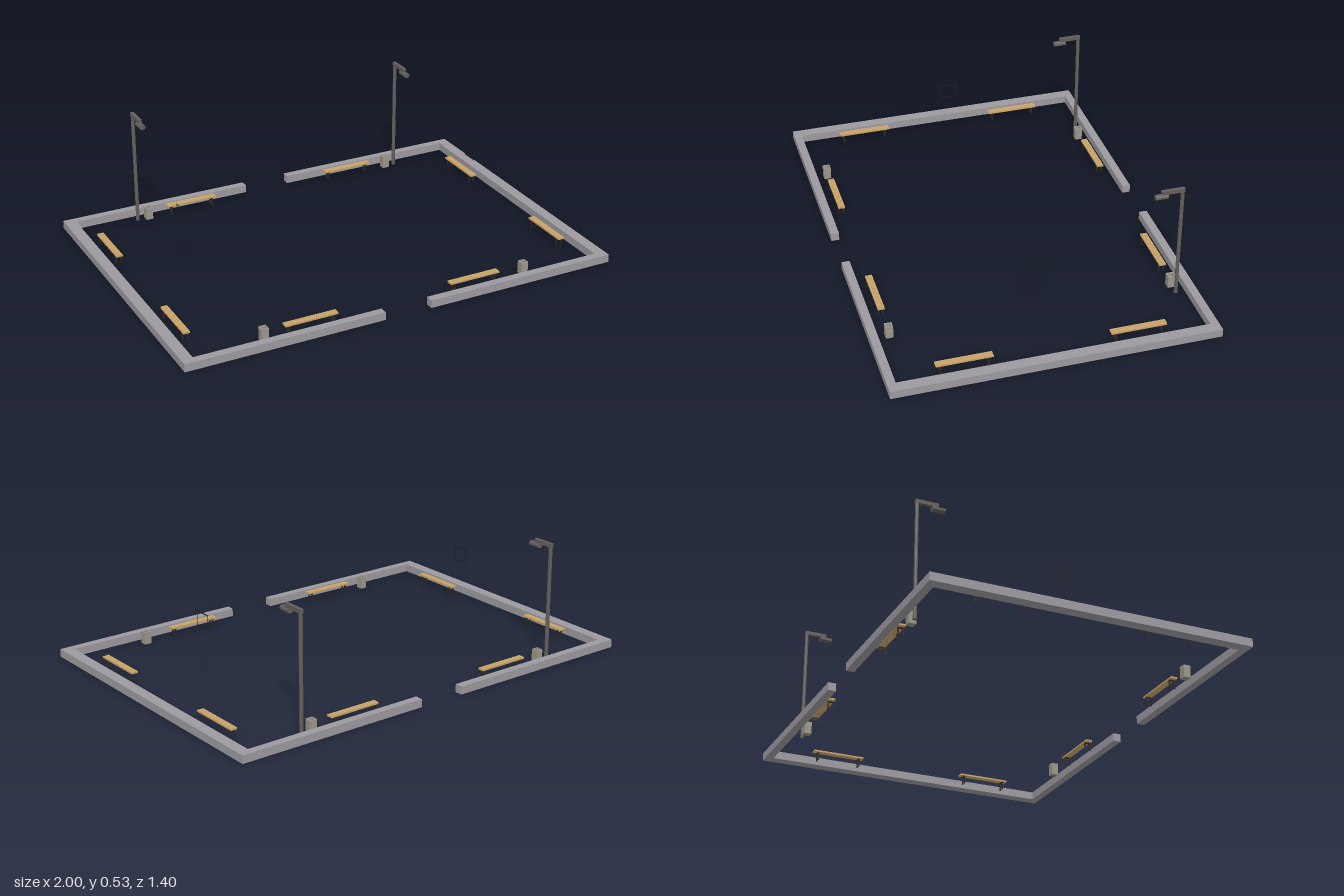
import * as THREE from 'three';

const mat = (name, color, extra = {}) => {
  const m = new THREE.MeshStandardMaterial({ color, ...extra });
  m.name = name;
  return m;
};

export function createModel() {
  const stone = mat('stone', 0x9c9a9f);
  const wood = mat('wood', 0xcaa468);
  const iron = mat('dark iron', 0x2b2927);
  const lampMetal = mat('lamp metal', 0x625e5b, { flatShading: true });
  const binGrey = mat('bin grey', 0x9c968a);
  const line = mat('frame black', 0x1c1e20, { side: THREE.DoubleSide });

  const model = new THREE.Group();
  model.name = 'courtyard';

  const add = (parent, name, geometry, material, x = 0, y = 0, z = 0) => {
    const mesh = new THREE.Mesh(geometry, material);
    mesh.name = name;
    mesh.position.set(x, y, z);
    parent.add(mesh);
    return mesh;
  };
  const box = (parent, name, material, w, h, d, x, y, z) =>
    add(parent, name, new THREE.BoxGeometry(w, h, d), material, x, y, z);
  const group = (name, x, z, turn = 0) => {
    const g = new THREE.Group();
    g.name = name;
    g.position.set(x, 0, z);
    g.rotation.y = turn;
    model.add(g);
    return g;
  };
  const rectangle = (w, h, Type = THREE.Shape) => new Type([
    new THREE.Vector2(-w / 2, -h / 2), new THREE.Vector2(w / 2, -h / 2),
    new THREE.Vector2(w / 2, h / 2), new THREE.Vector2(-w / 2, h / 2),
  ]);
  const ring = (w, h, t) => {
    const shape = rectangle(w, h);
    shape.holes.push(rectangle(w - 2 * t, h - 2 * t, THREE.Path));
    return shape;
  };

  // Low perimeter wall: two U-shaped halves with a gap at front and back
  for (const s of [-1, 1]) {
    const outline = [[0.108, -0.7], [1, -0.7], [1, 0.7], [0.108, 0.7],
      [0.108, 0.664], [0.95, 0.664], [0.95, -0.664], [0.108, -0.664]];
    const shape = new THREE.Shape(outline.map(([x, z]) => new THREE.Vector2(s * x, z)));
    const geometry = new THREE.ExtrudeGeometry(shape, { depth: 0.036, bevelEnabled: false });
    geometry.rotateX(-Math.PI / 2);
    add(model, s < 0 ? 'rightWall' : 'leftWall', geometry, stone);
  }

  // Slatted benches on iron legs
  const benches = [
    [-0.408, -0.619, 0], [0.402, -0.619, 0], [-0.408, 0.612, 0], [0.365, 0.612, 0],
    [-0.901, -0.37, 1], [-0.901, 0.37, 1], [0.894, -0.37, 1], [0.894, 0.37, 1],
  ];
  for (const [x, z, turned] of benches) {
    const bench = group('bench', x, z, turned * Math.PI / 2);
    for (const i of [-1, 0, 1]) {
      box(bench, 'benchSlat', wood, 0.24, 0.008, 0.0092, 0, 0.042, i * 0.0102);
    }
    for (const sx of [-1, 1]) {
      box(bench, 'benchCrossbar', iron, 0.008, 0.005, 0.028, sx * 0.1, 0.0355, 0);
      for (const sz of [-1, 1]) {
        box(bench, 'benchLeg', iron, 0.006, 0.034, 0.006, sx * 0.1, 0.017, sz * 0.011);
      }
    }
  }

  // Open-topped square litter bins
  for (const x of [-0.619, 0.613]) {
    for (const z of [-0.619, 0.612]) {
      const bin = group('litterBin', x, z);
      const sides = new THREE.ExtrudeGeometry(ring(0.032, 0.032, 0.005), { depth: 0.056, bevelEnabled: false });
      sides.rotateX(-Math.PI / 2);
      add(bin, 'binSides', sides, binGrey);
      box(bin, 'binFloor', binGrey, 0.023, 0.006, 0.023, 0, 0.003, 0);
    }
  }

  // Lamp posts at the back, arms reaching inwards
  for (const x of [-0.67, 0.665]) {
    const lamp = group('lampPost', x, -0.624);
    add(lamp, 'lampPole', new THREE.CylinderGeometry(0.0085, 0.0085, 0.515, 8), lampMetal, 0, 0.2575, 0);
    box(lamp, 'lampArm', lampMetal, 0.016, 0.017, 0.1, 0, 0.523, 0.042);
    const head = new THREE.CylinderGeometry(0.0145, 0.0145, 0.055, 8);
    head.rotateY(Math.PI / 8).rotateX(Math.PI / 2).scale(1, 0.8, 1);
    add(lamp, 'lampHead', head, lampMetal, 0, 0.505, 0.0915);
  }

  // Flat rectangular frames hanging near each end
  for (const x of [-0.71, 0.71]) {
    const frame = add(model, 'hangingFrame', new THREE.ShapeGeometry(ring(0.08, 0.068, 0.005)), line, x, 0.311, 0);
    frame.rotation.y = Math.PI / 2;
  }

  return model;
}
